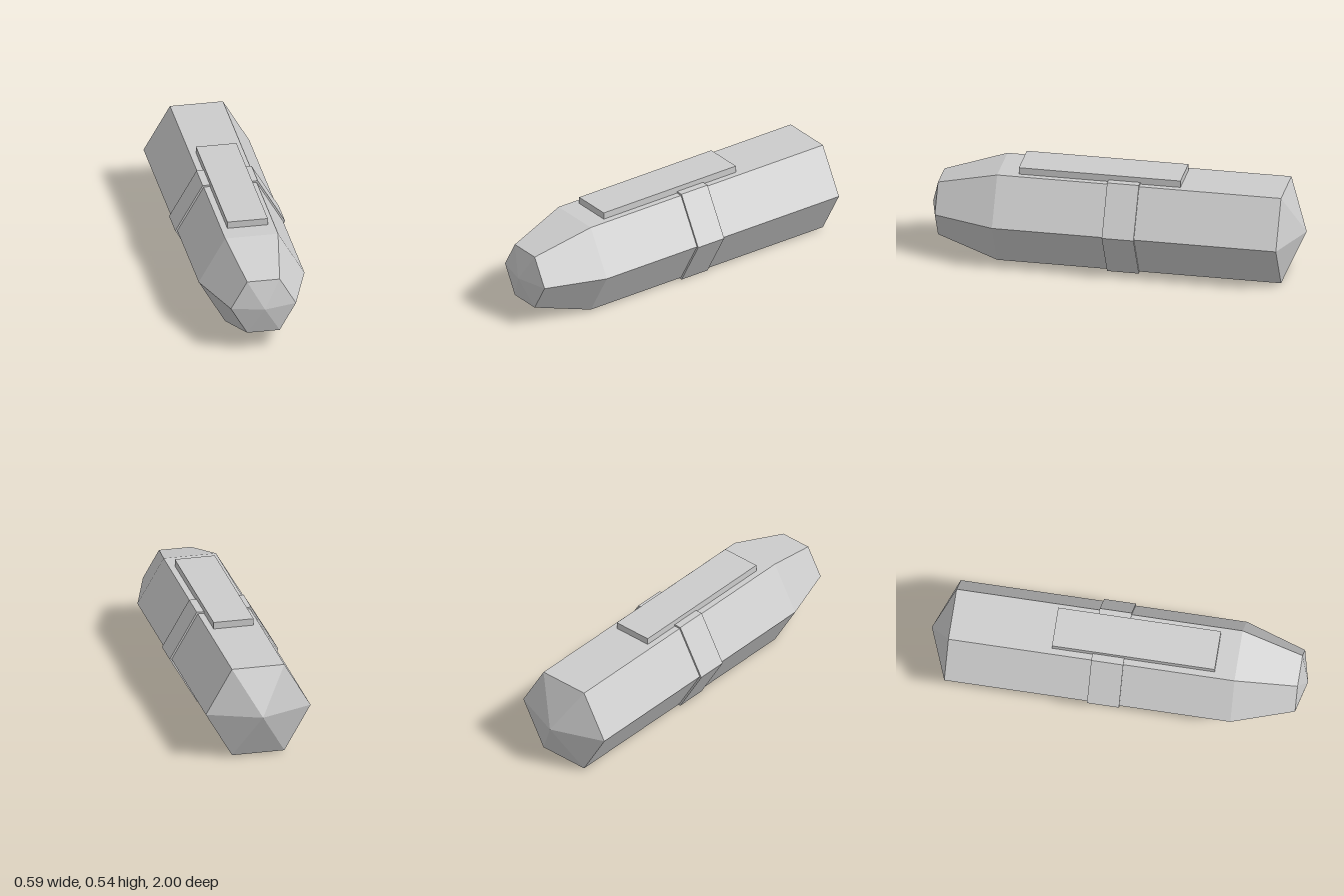
import * as THREE from 'three';

const CENTER_Y = 0.255;

// Six-sided solid along z from [radius, z] pairs listed back to front, with flat facets
function hexSolid(name, profile, material) {
  const points = profile.map(([r, z]) => new THREE.Vector2(r, z));
  const lathe = new THREE.LatheGeometry(points, 6, Math.PI / 2);
  lathe.rotateX(Math.PI / 2);
  const geometry = lathe.toNonIndexed();
  geometry.computeVertexNormals();
  const mesh = new THREE.Mesh(geometry, material);
  mesh.name = name;
  mesh.position.y = CENTER_Y;
  return mesh;
}

export function createModel() {
  const group = new THREE.Group();
  group.name = 'hexagonalCapsule';
  const grey = new THREE.MeshStandardMaterial({ color: 0xcccccc });
  grey.name = 'light grey';

  // Main hull: pointed tail, straight body, tapered nose
  group.add(hexSolid('hull', [
    [0, -1], [0.283, -0.89], [0.283, 0.63], [0.174, 0.957], [0, 1],
  ], grey));

  // Raised band around the middle
  group.add(hexSolid('band', [
    [0.27, -0.13], [0.294, -0.13], [0.294, 0.04], [0.27, 0.04],
  ], grey));

  // Flat plate on top, sunk slightly into the hull
  const plate = new THREE.Mesh(new THREE.BoxGeometry(0.216, 0.047, 0.865), grey);
  plate.name = 'topPlate';
  plate.position.set(0, 0.5135, 0.0875);
  group.add(plate);

  return group;
}
